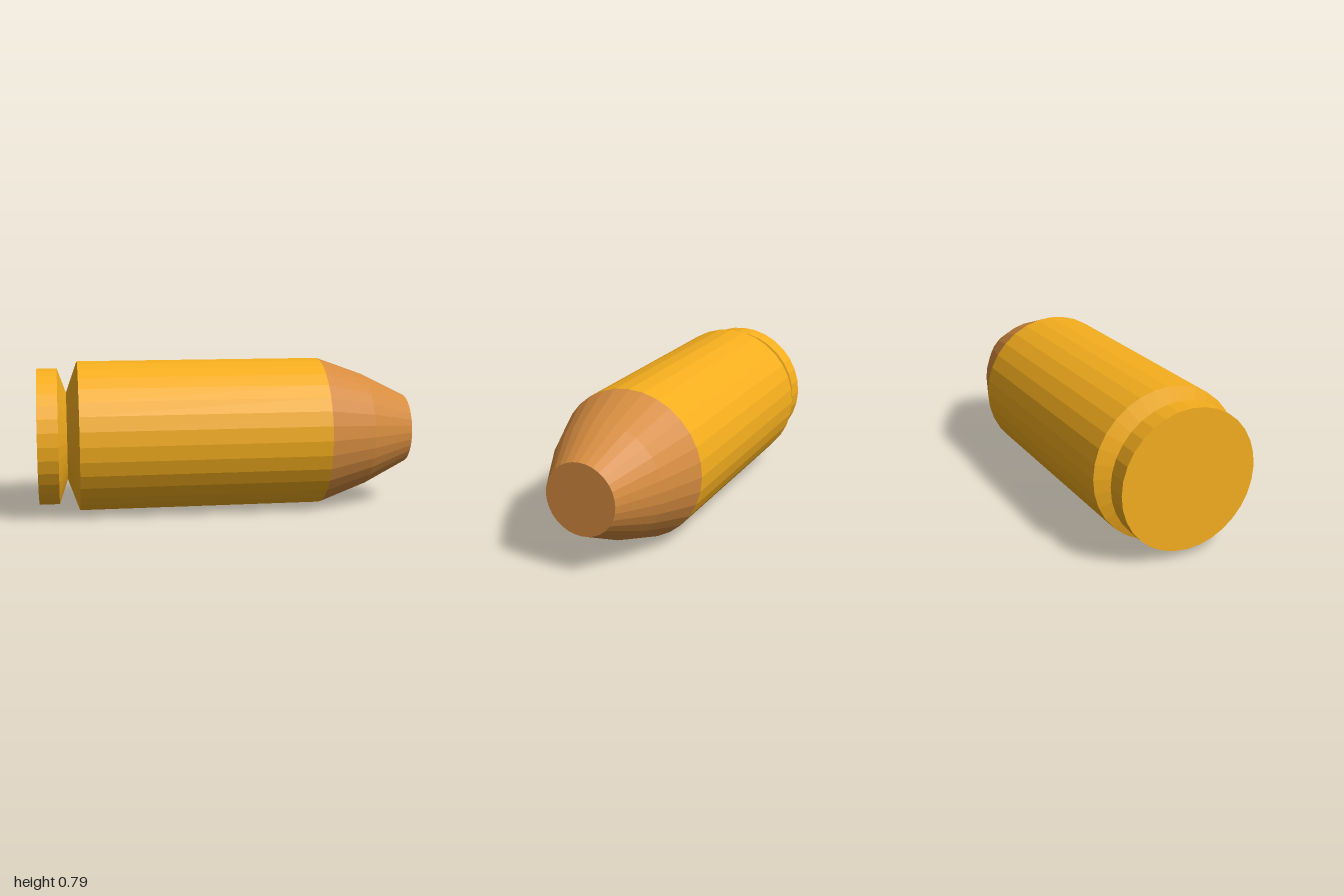
import * as THREE from 'three';

const SIDES = 32;
const AXIS_HEIGHT = 0.4;

// Turns a profile of [radius, x] points around the long (x) axis.
function turned(name, color, profile) {
  const points = profile.map(([r, x]) => new THREE.Vector2(r, x));
  const geometry = new THREE.LatheGeometry(points, SIDES);
  geometry.rotateZ(-Math.PI / 2);
  geometry.translate(0, AXIS_HEIGHT, 0);
  const material = new THREE.MeshStandardMaterial({ color, flatShading: true });
  const mesh = new THREE.Mesh(geometry, material);
  mesh.name = name;
  return mesh;
}

export function createModel() {
  const group = new THREE.Group();
  group.name = 'cartridge';
  const brass = 0xf5ae1e;
  const copper = 0xd68c40;

  // Base disc with the near wall of the extraction groove
  group.add(turned('rim', brass, [[0, -1], [0.361, -1], [0.361, -0.895], [0.23, -0.85]]));

  // Far wall of the groove and the straight case
  group.add(turned('case', brass, [[0.23, -0.85], [0.397, -0.79], [0.397, 0.507]]));

  // Two-step tapering tip with a flat nose
  group.add(turned('bullet', copper, [[0.397, 0.507], [0.305, 0.76], [0.186, 1], [0, 1]]));

  return group;
}
